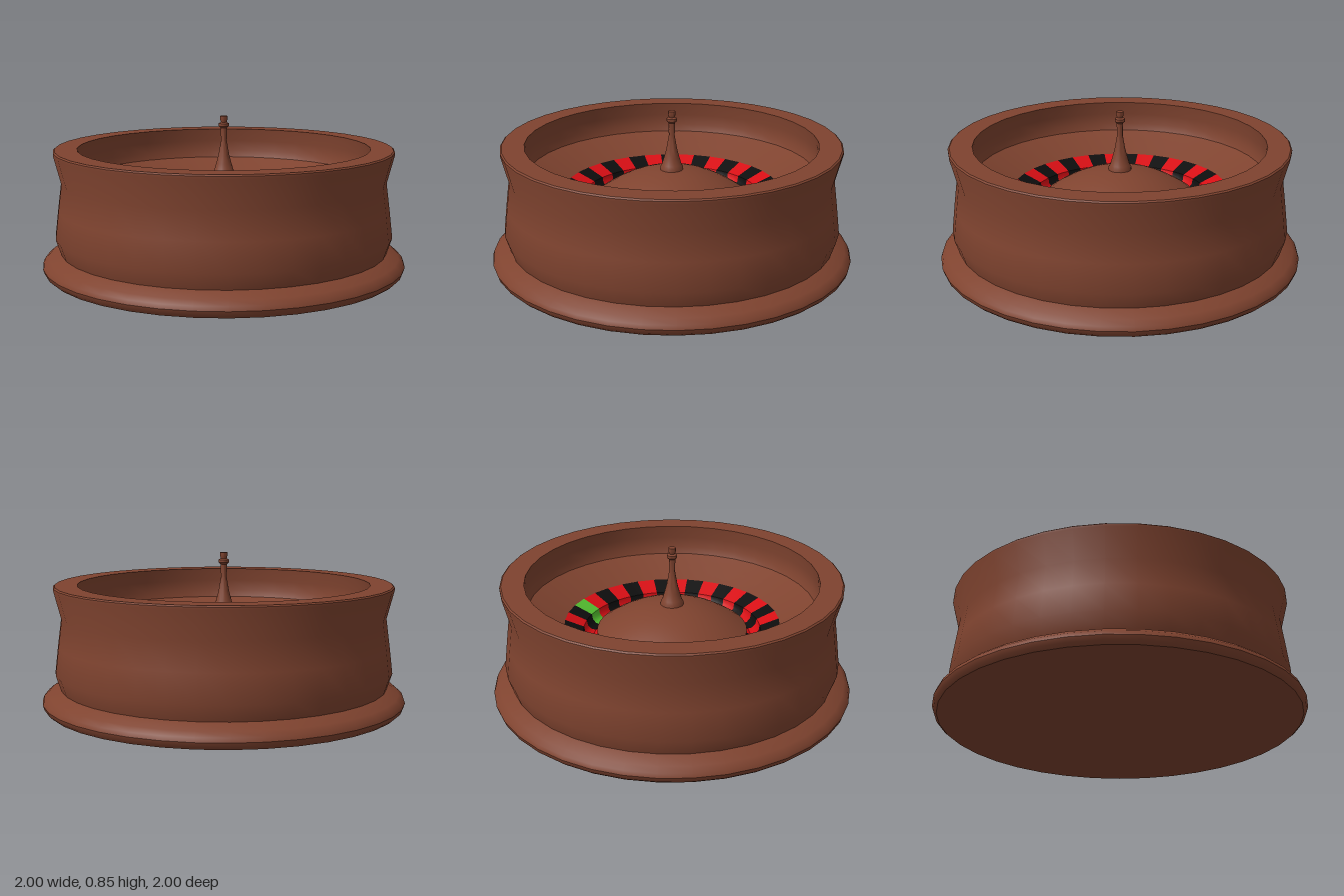
import * as THREE from 'three';
import { toCreasedNormals } from 'three/addons/utils/BufferGeometryUtils.js';

const SECTORS = 37;
const STEP = (Math.PI * 2) / SECTORS;

const wood = new THREE.MeshStandardMaterial({ color: 0x7f432f });
const red = new THREE.MeshStandardMaterial({ color: 0xd80e14 });
const black = new THREE.MeshStandardMaterial({ color: 0x0d0d0d });
const green = new THREE.MeshStandardMaterial({ color: 0x55c030 });

// Spins a [radius, height] profile about the y axis, keeping sharp edges sharp
function turned(name, profile, material, segments, start = Math.PI, length = Math.PI * 2) {
  const points = profile.map(([r, y]) => new THREE.Vector2(r, y));
  const lathe = new THREE.LatheGeometry(points, segments, start, length);
  const mesh = new THREE.Mesh(toCreasedNormals(lathe, 0.65), material);
  mesh.name = name;
  return mesh;
}

export function createModel() {
  const model = new THREE.Group();
  model.name = 'rouletteWheel';

  // Outer bowl: underside, rounded foot, waisted wall, rim, inner wall, sloping track
  model.add(turned('bowl', [
    [0, 0], [0.975, 0], [0.992, 0.015], [1, 0.04], [0.992, 0.062], [0.965, 0.085],
    [0.9, 0.115], [0.928, 0.2], [0.91, 0.35], [0.89, 0.5], [0.93, 0.655],
    [0.93, 0.668], [0.922, 0.675], [0.8, 0.675],
    [0.81, 0.6], [0.81, 0.54], [0.795, 0.5], [0.7, 0.455], [0.595, 0.41],
  ], wood, SECTORS));

  // Coloured ring: each sector is a sloping number panel plus a dished pocket
  const ring = new THREE.Group();
  ring.name = 'numberRing';
  for (let i = 0; i < SECTORS; i++) {
    const isRed = i < 3 ? i === 1 : i % 2 === 0;
    const material = i === 3 ? green : isRed ? red : black;
    ring.add(turned('sector' + i, [
      [0.595, 0.41], [0.49, 0.37], [0.485, 0.34], [0.465, 0.32], [0.44, 0.315], [0.41, 0.33],
    ], material, 2, Math.PI - (i + 1) * STEP, STEP));
  }
  model.add(ring);

  // Domed hub in the middle
  const dome = [[0.415, 0.31], [0.415, 0.37]];
  for (let i = 1; i <= 8; i++) {
    const r = 0.415 * (1 - i / 8);
    dome.push([r, 0.37 + 0.15 * (1 - (r / 0.415) ** 2)]);
  }
  model.add(turned('hubDome', dome, wood, SECTORS));

  // Spindle with flared base, collar and cap
  model.add(turned('spindle', [
    [0.063, 0.49], [0.063, 0.53], [0.054, 0.545], [0.042, 0.585], [0.03, 0.63],
    [0.022, 0.675], [0.016, 0.71], [0.018, 0.78], [0.028, 0.79], [0.028, 0.805],
    [0.016, 0.812], [0.02, 0.825], [0.02, 0.845], [0, 0.845],
  ], wood, 20));

  return model;
}
